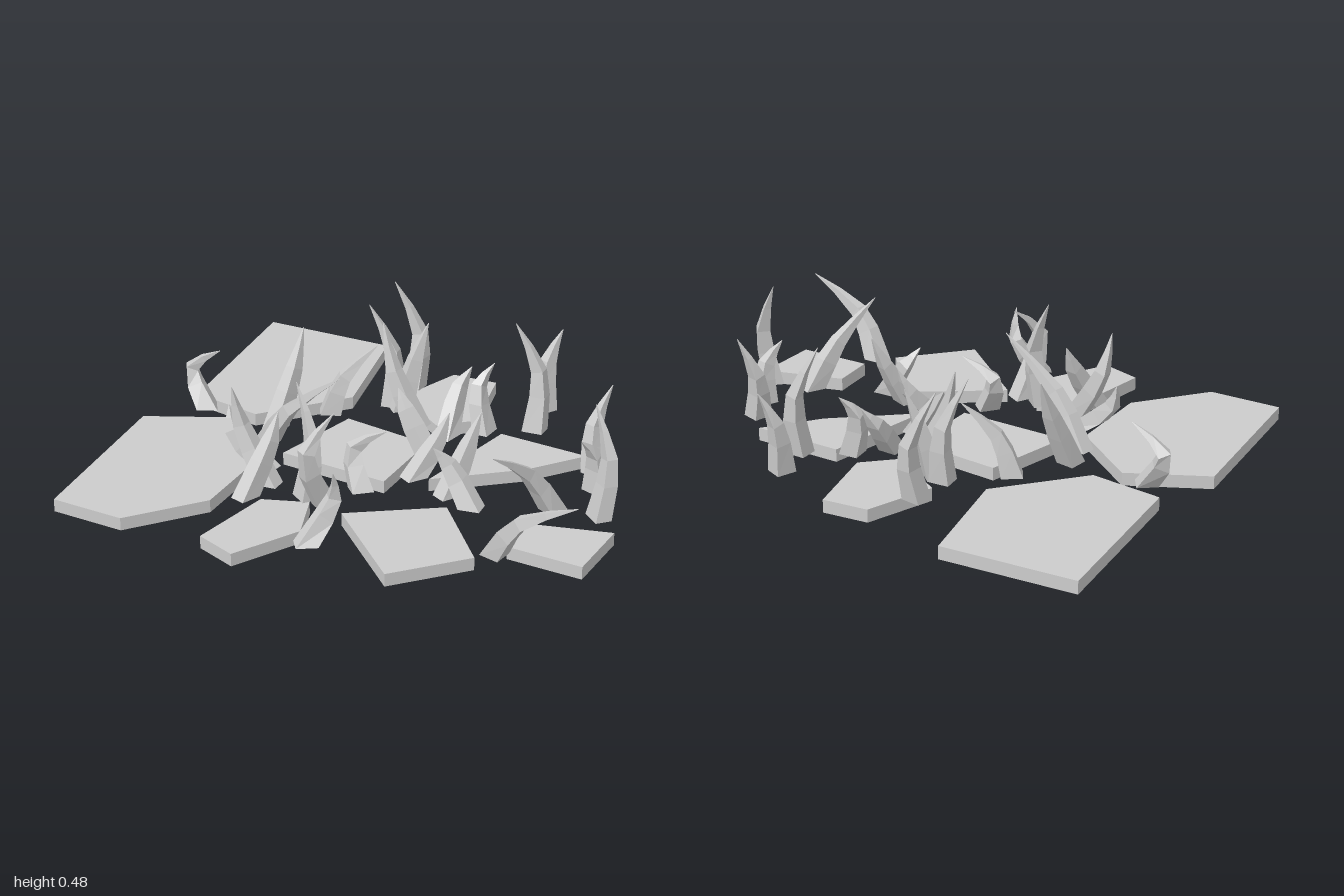
import * as THREE from 'three';

const SLAB_TOP = 0.05;
const grey = () => new THREE.MeshStandardMaterial({ color: 0xcccccc, flatShading: true, side: THREE.DoubleSide });

// Outlines of the paving slabs as [x, z] corners
const slabs = [
  [[-0.97, -0.87], [-0.44, -0.88], [-0.35, -0.4], [-0.62, -0.1], [-0.91, -0.15]],
  [[-0.08, -0.76], [0.1, -0.77], [0.17, -0.44], [0.05, -0.33], [-0.18, -0.49]],
  [[0.3, -0.38], [0.66, -0.36], [0.5, -0.16], [0.21, 0.07]],
  [[-0.28, -0.23], [0.08, -0.18], [0.07, 0.16], [-0.37, 0.13]],
  [[-0.7, -0.03], [-0.43, 0.2], [-0.43, 0.57], [-0.65, 0.83], [-0.94, 0.82], [-1, 0.11]],
  [[0.36, 0.23], [0.6, 0.51], [0.37, 0.75], [0.04, 0.44]],
  [[0.66, 0.21], [0.97, 0.13], [0.96, 0.4], [0.67, 0.39]],
  [[-0.27, 0.48], [-0.1, 0.42], [-0.03, 0.62], [-0.17, 0.87], [-0.33, 0.81]],
];

// Grass blades: base x, z; knee x, y, z; tip x, y, z
const leftBlades = [
  [-0.82, -0.07, -0.9, 0.19, -0.1, -0.77, 0.29, -0.1],
  [-0.5, -0.04, -0.47, 0.26, -0.14, -0.46, 0.41, -0.21],
  [-0.37, -0.25, -0.32, 0.2, -0.27, -0.21, 0.33, -0.34],
  [-0.47, 0.08, -0.35, 0.23, 0.12, -0.12, 0.42, 0.14],
  [-0.37, 0.25, -0.51, 0.17, 0.25, -0.54, 0.26, 0.23],
  [-0.3, 0.36, -0.42, 0.25, 0.34, -0.45, 0.41, 0.36],
  [-0.33, 0.49, -0.29, 0.23, 0.37, -0.28, 0.33, 0.32],
  [-0.13, 0.39, -0.11, 0.27, 0.37, -0.19, 0.48, 0.34],
];
const centreBlades = [
  [-0.18, -0.6, -0.17, 0.26, -0.64, -0.27, 0.48, -0.61],
  [-0.18, -0.42, -0.19, 0.26, -0.44, -0.28, 0.46, -0.41],
  [-0.14, -0.4, -0.1, 0.25, -0.44, -0.06, 0.4, -0.48],
  [-0.02, -0.31, -0.12, 0.25, -0.31, -0.18, 0.44, -0.33],
  [0.12, -0.27, 0.11, 0.2, -0.4, 0.14, 0.27, -0.45],
  [0.23, -0.37, 0.19, 0.22, -0.4, 0.23, 0.3, -0.46],
  [0.13, -0.1, 0.02, 0.2, -0.13, -0.03, 0.27, -0.16],
  [0.15, 0.08, 0.2, 0.17, -0.02, 0.23, 0.27, -0.06],
  [0.02, 0.25, -0.03, 0.19, 0.21, 0.09, 0.27, 0.18],
  [-0.04, 0.41, -0.07, 0.29, 0.5, -0.02, 0.41, 0.38],
  [0.03, 0.69, 0.09, 0.2, 0.59, 0.11, 0.32, 0.63],
];
const rightBlades = [
  [0.36, -0.64, 0.36, 0.24, -0.67, 0.4, 0.37, -0.72],
  [0.4, -0.47, 0.4, 0.28, -0.5, 0.31, 0.48, -0.47],
  [0.73, -0.26, 0.71, 0.22, -0.29, 0.76, 0.38, -0.34],
  [0.79, -0.14, 0.79, 0.2, -0.12, 0.76, 0.28, -0.05],
  [0.88, 0.05, 0.9, 0.27, 0.02, 0.83, 0.47, 0.0],
  [0.44, 0.19, 0.34, 0.19, 0.17, 0.29, 0.26, 0.2],
  [0.32, 0.15, 0.36, 0.22, 0.06, 0.39, 0.34, 0.01],
  [0.71, 0.07, 0.65, 0.22, 0.16, 0.59, 0.36, 0.35],
  [0.65, 0.46, 0.76, 0.22, 0.5, 0.98, 0.34, 0.51],
];

// Top face and side walls, hollow underneath
function slabGeometry(outline) {
  const n = outline.length, pos = [], index = [];
  for (const y of [0, SLAB_TOP]) for (const [x, z] of outline) pos.push(x, y, z);
  for (let i = 0; i < n; i++) {
    const j = (i + 1) % n;
    index.push(i, i + n, j, j, i + n, j + n);
  }
  for (let i = 1; i < n - 1; i++) index.push(n, n + i + 1, n + i);
  return finish(pos, index);
}

function finish(pos, index) {
  const g = new THREE.BufferGeometry();
  g.setAttribute('position', new THREE.Float32BufferAttribute(pos, 3));
  g.setIndex(index);
  const flat = g.toNonIndexed();
  flat.computeVertexNormals();
  return flat;
}

// Four-sided tapering blade swept from base through knee to tip
function bladeGeometry([bx, bz, kx, ky, kz, tx, ty, tz]) {
  const curve = new THREE.CatmullRomCurve3([
    new THREE.Vector3(bx, SLAB_TOP, bz), new THREE.Vector3(kx, ky, kz), new THREE.Vector3(tx, ty, tz),
  ]);
  const lean = new THREE.Vector3(tx - bx, 0, tz - bz).normalize();
  const side = new THREE.Vector3(lean.z, 0, -lean.x);
  const sections = [[0, 0.038, 0.04], [0.3, 0.033, 0.03], [0.52, 0.026, 0.023], [0.76, 0.014, 0.012], [1, 0.001, 0.001]];
  const pos = [], index = [];
  sections.forEach(([t, halfWidth, halfDepth], s) => {
    const p = curve.getPoint(t);
    const along = s === 0 ? new THREE.Vector3(0, 1, 0) : curve.getTangent(t);
    const across = new THREE.Vector3().crossVectors(side, along).normalize();
    for (const [u, v] of [[1, 1], [-1, 1], [-1, -1], [1, -1]]) {
      const taper = v < 0 ? 0.8 : 1;
      const q = p.clone().addScaledVector(side, u * halfWidth * taper).addScaledVector(across, v * halfDepth);
      pos.push(q.x, q.y, q.z);
    }
    if (s > 0) for (let i = 0; i < 4; i++) {
      const a = (s - 1) * 4 + i, b = (s - 1) * 4 + (i + 1) % 4;
      index.push(a, b, a + 4, b, b + 4, a + 4);
    }
  });
  const top = (sections.length - 1) * 4;
  index.push(0, 2, 1, 0, 3, 2, top, top + 1, top + 2, top, top + 2, top + 3);
  return finish(pos, index);
}

export function createModel() {
  const model = new THREE.Group();
  model.name = 'pavingWithGrass';
  const material = grey();

  const addGroup = (name, partName, items, build) => {
    const group = new THREE.Group();
    group.name = name;
    items.forEach((item, i) => {
      const mesh = new THREE.Mesh(build(item), material);
      mesh.name = `${partName}${i + 1}`;
      group.add(mesh);
    });
    model.add(group);
  };

  addGroup('pavingSlabs', 'slab', slabs, slabGeometry);
  addGroup('leftGrass', 'leftBlade', leftBlades, bladeGeometry);
  addGroup('centreGrass', 'centreBlade', centreBlades, bladeGeometry);
  addGroup('rightGrass', 'rightBlade', rightBlades, bladeGeometry);
  return model;
}
